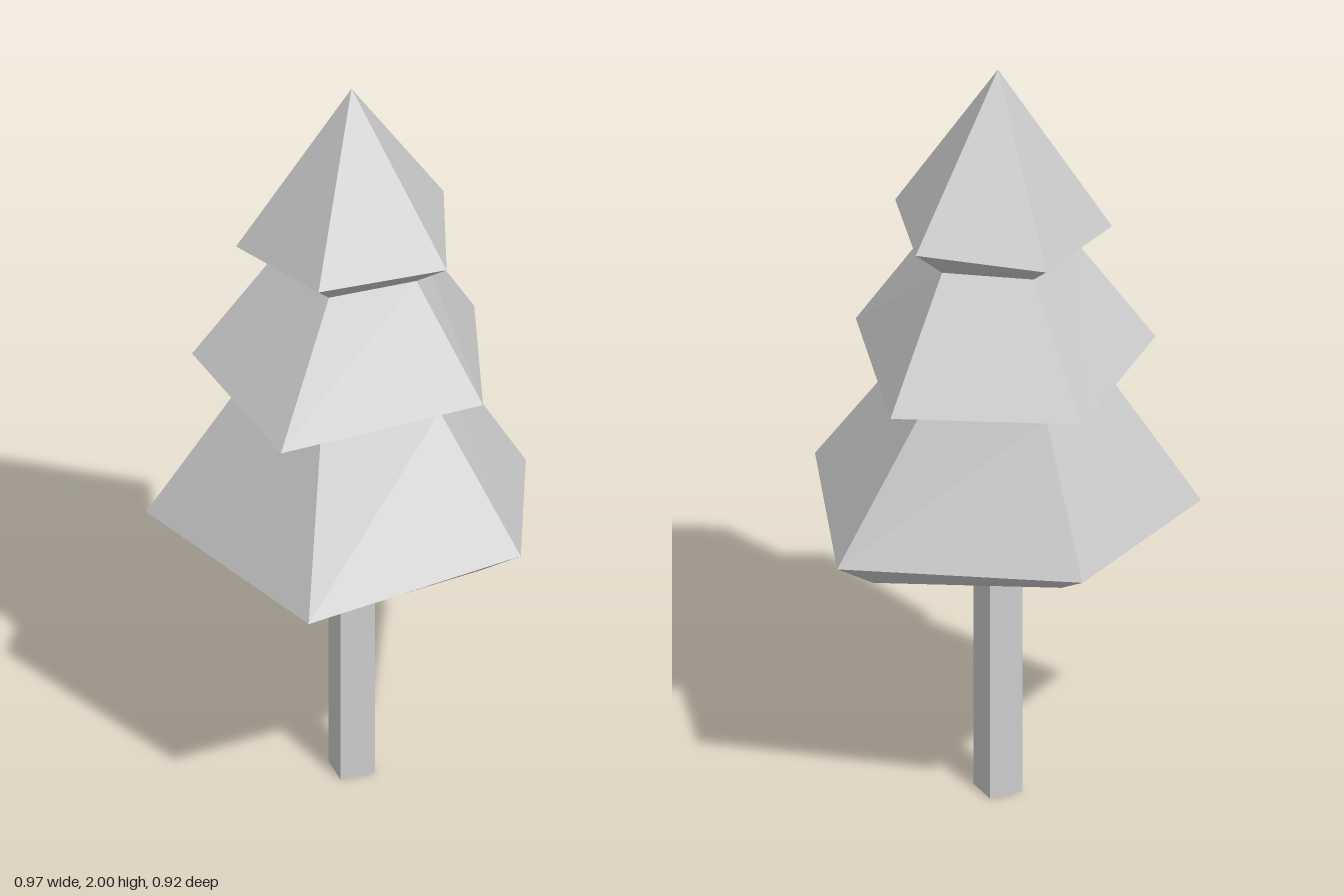
import * as THREE from 'three';

const AXIS_Z = 0.047; // the trunk line sits slightly forward
const material = new THREE.MeshStandardMaterial({ color: 0xcccccc, flatShading: true });

// Five equal points: back, right, front right, front left, left
function regularRing(radius, y) {
  return Array.from({ length: 5 }, (_, i) => {
    const a = (i * Math.PI * 2) / 5;
    return [radius * Math.sin(a), y, AXIS_Z - radius * Math.cos(a)];
  });
}

// Faceted skin over a stack of five-point rings, listed from top to bottom
function skin(name, rings) {
  const positions = [];
  const triangle = (a, b, c) => {
    if (a !== b && b !== c && c !== a) positions.push(...a, ...b, ...c);
  };
  for (let r = 0; r < rings.length - 1; r++) {
    const upper = rings[r];
    const lower = rings[r + 1];
    for (let i = 0; i < 5; i++) {
      const j = (i + 1) % 5;
      triangle(upper[i], upper[j], lower[j]);
      triangle(upper[i], lower[j], lower[i]);
    }
  }
  const geometry = new THREE.BufferGeometry();
  geometry.setAttribute('position', new THREE.Float32BufferAttribute(positions, 3));
  geometry.computeVertexNormals();
  const mesh = new THREE.Mesh(geometry, material);
  mesh.name = name;
  return mesh;
}

const point = (y) => Array(5).fill([0, y, AXIS_Z]);

export function createModel() {
  const tree = new THREE.Group();
  tree.name = 'tree';

  // Narrow necks shared by neighbouring tiers
  const upperNeck = regularRing(0.195, 1.505);
  const lowerNeck = regularRing(0.265, 1.145);

  // Uneven rims of the tiers
  const topRim = [
    [0.012, 1.57, -0.24], [0.272, 1.585, -0.04], [0.168, 1.57, 0.278],
    [-0.168, 1.577, 0.278], [-0.272, 1.54, -0.04],
  ];
  const middleRim = [
    [-0.035, 1.185, -0.347], [0.375, 1.185, -0.105], [0.232, 1.213, 0.367],
    [-0.298, 1.185, 0.367], [-0.375, 1.225, -0.075],
  ];
  const bottomRim = [
    [0.022, 0.81, -0.46], [0.483, 0.755, -0.027], [0.298, 0.81, 0.46],
    [-0.258, 0.73, 0.46], [-0.483, 0.76, -0.11],
  ];
  const hem = [
    [0.02, 0.74, -0.34], [0.38, 0.69, -0.02], [0.23, 0.73, 0.37],
    [-0.2, 0.675, 0.37], [-0.34, 0.7, -0.08],
  ];

  // Foliage, closed underneath by a shallow hollow
  tree.add(
    skin('topFoliage', [point(2), topRim, upperNeck]),
    skin('middleFoliage', [upperNeck, middleRim, lowerNeck]),
    skin('bottomFoliage', [lowerNeck, bottomRim, hem, point(0.77)]),
  );

  // Square trunk
  const trunk = new THREE.Mesh(new THREE.BoxGeometry(0.09, 0.78, 0.09), material);
  trunk.name = 'trunk';
  trunk.position.set(0, 0.39, AXIS_Z);
  tree.add(trunk);

  return tree;
}
